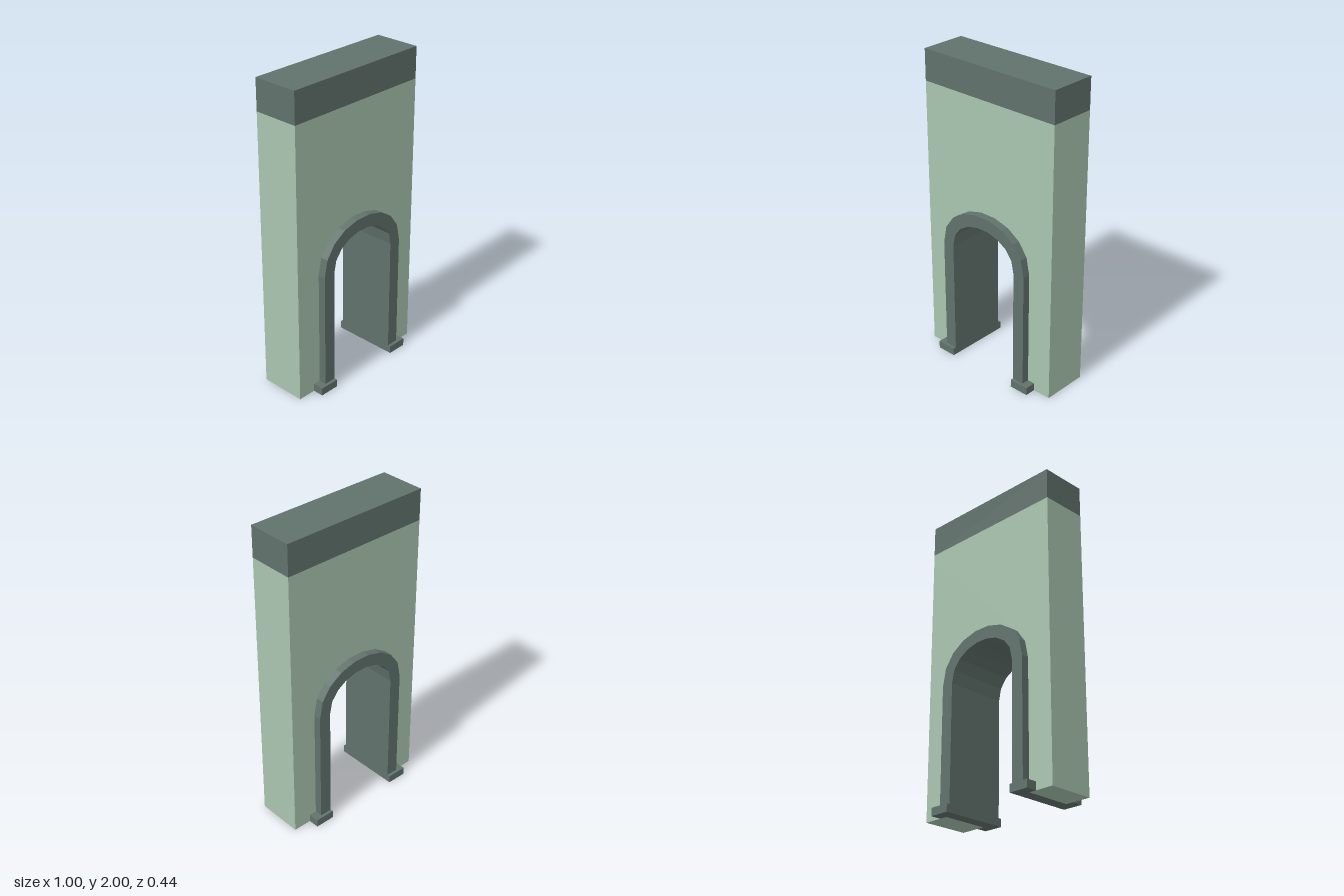
import * as THREE from 'three';

const wallMat = new THREE.MeshStandardMaterial({ color: 0xa9c5af, flatShading: true });
const trimMat = new THREE.MeshStandardMaterial({ color: 0x61726c, flatShading: true });

const HALF_W = 0.5, HALF_D = 0.15;
const SPRING = 0.8; // height where the arch starts to curve
const INNER = 0.25, OUTER = 0.33;

// Arch outline from the left foot over the crown to the right foot, in nine facets
function archPoints(r, rise) {
  const h = SPRING + rise / 0.741;
  const curve = new THREE.CubicBezierCurve(
    new THREE.Vector2(-r, SPRING), new THREE.Vector2(-r, h),
    new THREE.Vector2(r, h), new THREE.Vector2(r, SPRING));
  return [new THREE.Vector2(-r, 0), ...curve.getPoints(9), new THREE.Vector2(r, 0)];
}

// Extrusion centred on z = 0
function slab(points, halfDepth) {
  const geo = new THREE.ExtrudeGeometry(new THREE.Shape(points), {
    depth: halfDepth * 2, bevelEnabled: false });
  return geo.translate(0, 0, -halfDepth);
}

export function createModel() {
  const group = new THREE.Group();
  const add = (name, geo, mat, x = 0, y = 0, z = 0) => {
    const mesh = new THREE.Mesh(geo, mat);
    mesh.name = name;
    mesh.position.set(x, y, z);
    group.add(mesh);
  };

  const inner = archPoints(INNER, 0.2);
  const outer = archPoints(OUTER, 0.28);

  // Wall with the doorway cut out of its lower edge
  add('wall', slab([
    new THREE.Vector2(-HALF_W, 0), ...outer,
    new THREE.Vector2(HALF_W, 0), new THREE.Vector2(HALF_W, 1.8),
    new THREE.Vector2(-HALF_W, 1.8)], HALF_D), wallMat);

  // Flush band along the top
  add('topBand', new THREE.BoxGeometry(HALF_W * 2, 0.2, HALF_D * 2), trimMat, 0, 1.9);

  // Arch lining, standing proud of both wall faces
  add('archFrame', slab([...outer, ...inner.slice().reverse()], 0.2), trimMat);

  // Plinth blocks at the foot of each jamb, front and back
  for (const sx of [1, -1]) {
    for (const sz of [1, -1]) {
      add(`${sz > 0 ? 'front' : 'back'}${sx > 0 ? 'Left' : 'Right'}Plinth`,
        new THREE.BoxGeometry(0.13, 0.05, 0.07), trimMat, sx * 0.315, 0.025, sz * 0.185);
    }
  }
  return group;
}
